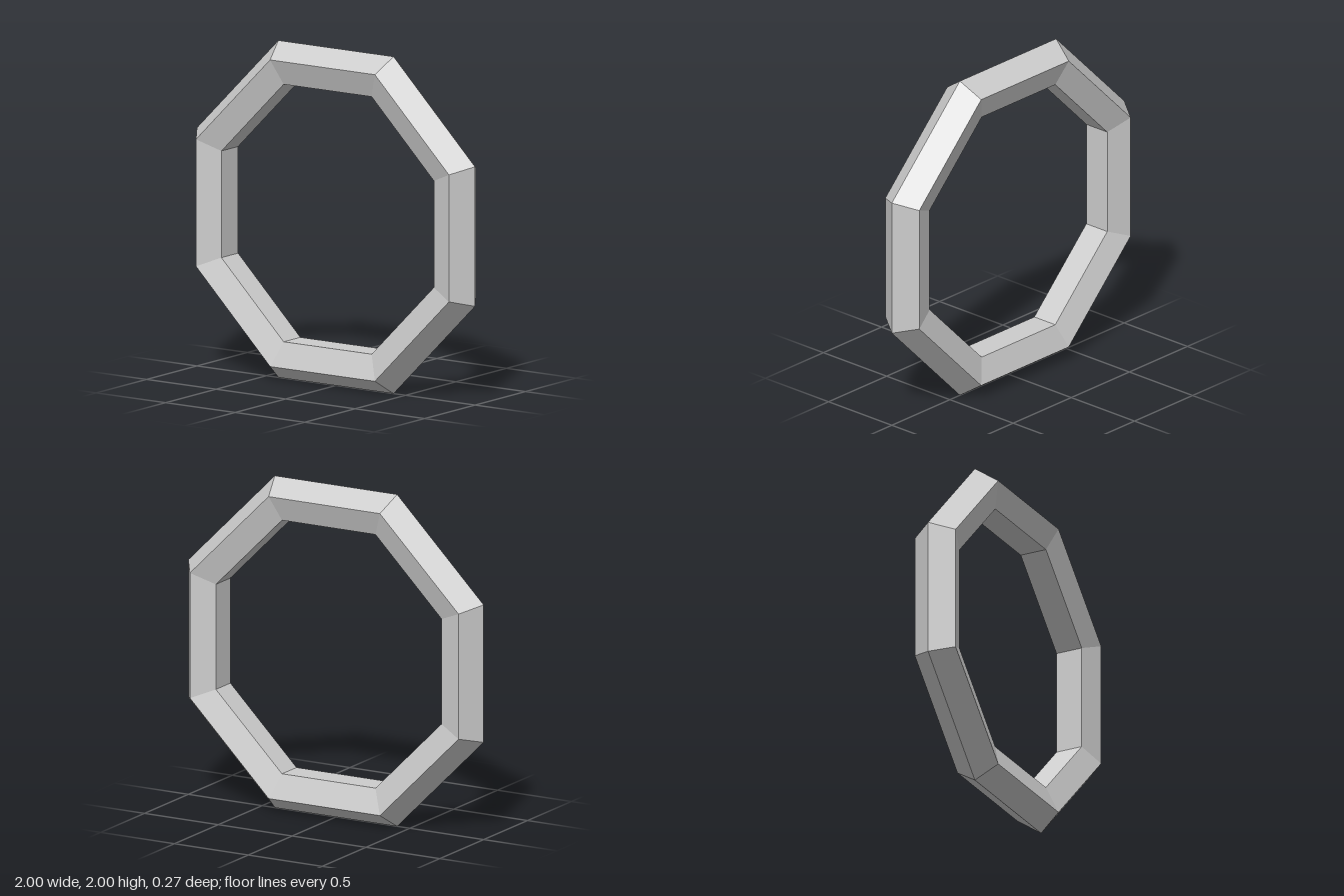
import * as THREE from 'three';

export function createModel() {
  const group = new THREE.Group();
  group.name = 'octagonalRing';

  const lightGrey = new THREE.MeshStandardMaterial({ color: 0xcccccc, flatShading: true });
  lightGrey.name = 'lightGrey';

  // Eight-sided ring with a five-sided tube, ridge outwards, flats on x = ±1
  const corner = 1 / Math.cos(Math.PI / 8);
  const radius = corner / 1.15;
  const geometry = new THREE.TorusGeometry(radius, radius * 0.15, 5, 8);
  geometry.rotateZ(Math.PI / 8);

  const ring = new THREE.Mesh(geometry, lightGrey);
  ring.name = 'ring';
  ring.position.y = 1;
  group.add(ring);
  return group;
}
